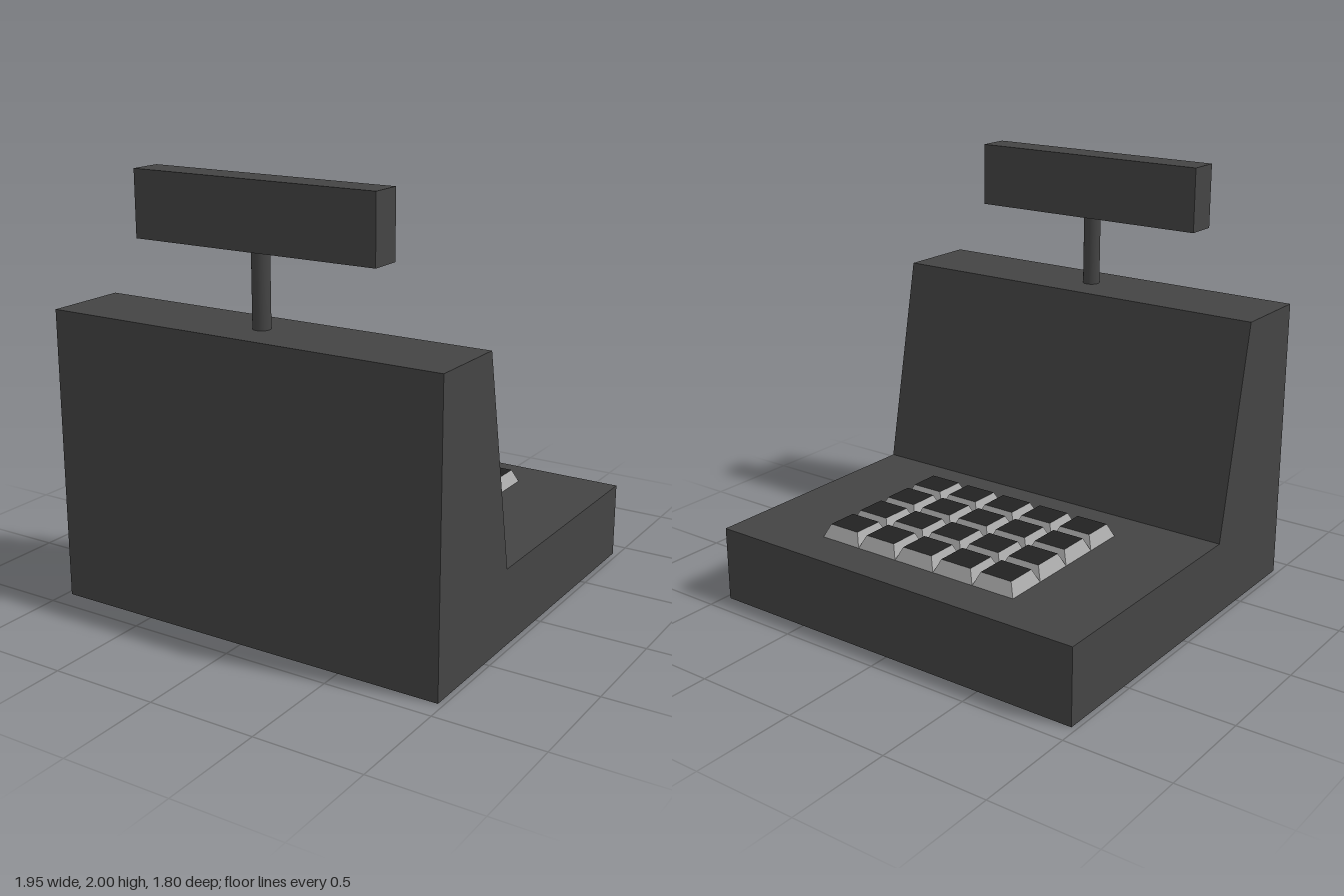
import * as THREE from 'three';

const mat = (color, flatShading = false) => new THREE.MeshStandardMaterial({ color, flatShading });

export function createModel() {
  const model = new THREE.Group();
  model.name = 'cashRegister';
  const casing = mat(0x444444);
  const sideMat = mat(0xaaaaaa, true);
  const topMat = mat(0x222222);

  const add = (parent, name, geometry, material, x = 0, y = 0, z = 0) => {
    const mesh = new THREE.Mesh(geometry, material);
    mesh.name = name;
    mesh.position.set(x, y, z);
    parent.add(mesh);
    return mesh;
  };

  // Body: side profile (z, y) extruded across the width
  const profile = [[-0.9, 0], [0.9, 0], [0.9, 1.365], [0.505, 1.365], [0.305, 0.36], [-0.9, 0.36]];
  const shape = new THREE.Shape(profile.map(([z, y]) => new THREE.Vector2(z, y)));
  const bodyGeo = new THREE.ExtrudeGeometry(shape, { depth: 1.95, bevelEnabled: false });
  bodyGeo.translate(0, 0, -0.975).rotateY(-Math.PI / 2);
  add(model, 'body', bodyGeo, casing);

  // Customer display on its pole
  add(model, 'displayPole', new THREE.CylinderGeometry(0.04, 0.04, 0.36, 24), casing, 0, 1.53, 0.7);
  add(model, 'display', new THREE.BoxGeometry(1.2, 0.3, 0.15), casing, 0, 1.85, 0.7);

  // Keypad: tapered keys with dark tops
  const pitchX = 0.216, pitchZ = 0.2, taper = 0.74, height = 0.062;
  const sideGeo = new THREE.CylinderGeometry(taper * Math.SQRT1_2, Math.SQRT1_2, height, 4, 1, true);
  sideGeo.rotateY(Math.PI / 4).scale(pitchX, 1, pitchZ);
  const topGeo = new THREE.PlaneGeometry(pitchX * taper, pitchZ * taper).rotateX(-Math.PI / 2);

  const keypad = new THREE.Group();
  keypad.name = 'keypad';
  keypad.position.set(0, 0.36, -0.3);
  model.add(keypad);
  for (let row = 0; row < 4; row++) {
    for (let col = 0; col < 5; col++) {
      const key = new THREE.Group();
      key.name = `key_${row}_${col}`;
      key.position.set((col - 2) * pitchX, 0, (row - 1.5) * pitchZ);
      add(key, 'keySides', sideGeo, sideMat, 0, height / 2, 0);
      add(key, 'keyTop', topGeo, topMat, 0, height, 0);
      keypad.add(key);
    }
  }
  return model;
}
